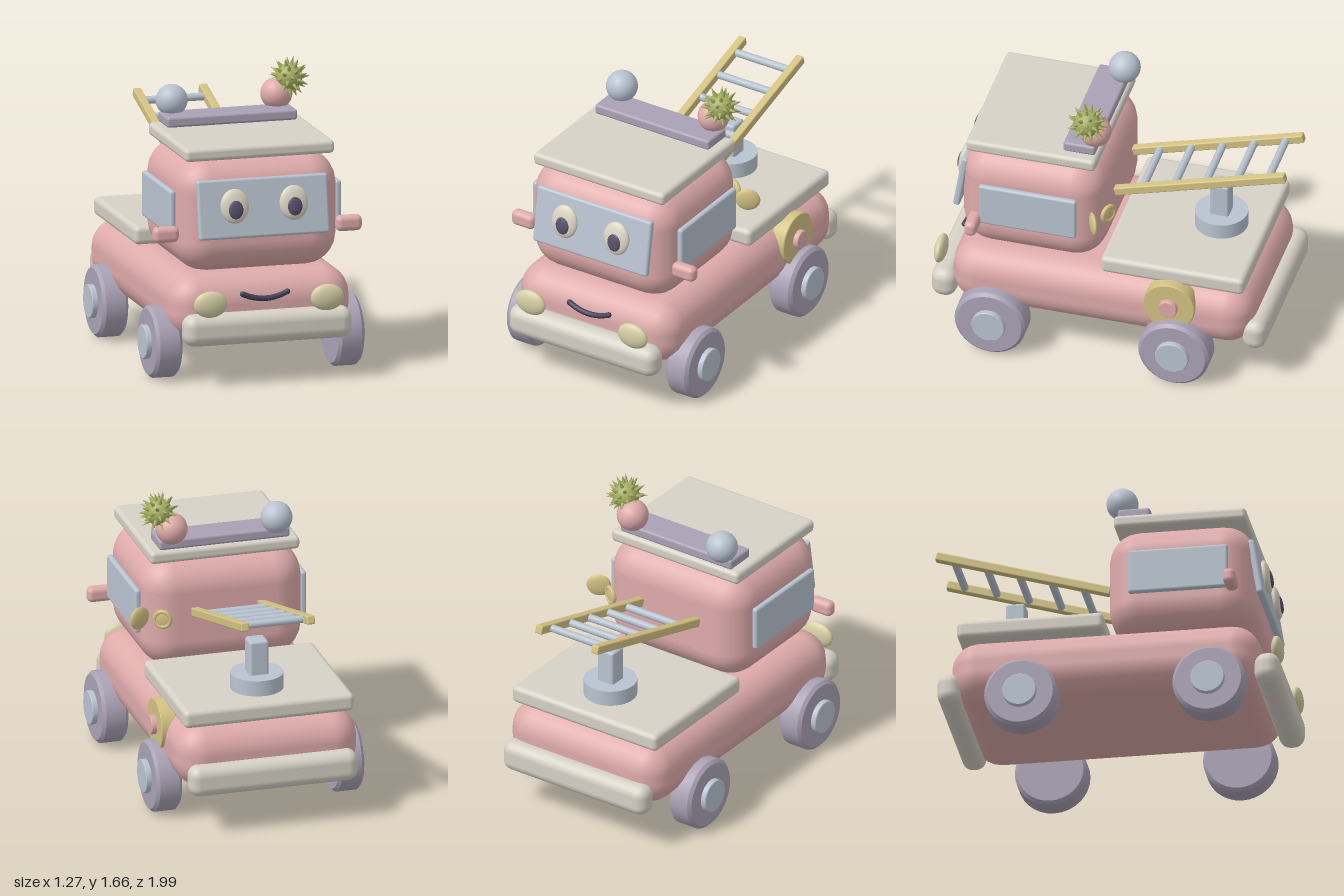
import * as THREE from 'three';
import { toCreasedNormals } from 'three/addons/utils/BufferGeometryUtils.js';
import { RoundedBoxGeometry } from 'three/addons/geometries/RoundedBoxGeometry.js';

const material = (name, color) => {
  const m = new THREE.MeshStandardMaterial({ color });
  m.name = name;
  return m;
};

export function createModel() {
  const truck = new THREE.Group();
  truck.name = 'fireTruck';
  const pink = material('pink', 0xdfabab);
  const cream = material('cream', 0xd6d1c6);
  const purple = material('greyPurple', 0xaaa2b5);
  const blue = material('paleBlue', 0xb9c4d1);
  const yellow = material('strawYellow', 0xd3c283);
  const lamp = material('lampCream', 0xd6d0a6);
  const eyeCream = material('eyeCream', 0xdcd5c4);
  const dark = material('darkViolet', 0x57506c);
  const mouthDark = material('mouthViolet', 0x443f58);
  const green = material('oliveGreen', 0xa5af62);

  const add = (name, geometry, mat, x, y, z, parent = truck) => {
    const mesh = new THREE.Mesh(geometry, mat);
    mesh.name = name;
    mesh.position.set(x, y, z);
    parent.add(mesh);
    return mesh;
  };
  const box = (name, mat, w, h, d, r, x, y, z, parent) =>
    add(name, new RoundedBoxGeometry(w, h, d, 3, r), mat, x, y, z, parent);
  const ball = (name, mat, rx, ry, rz, x, y, z, parent) =>
    add(name, new THREE.SphereGeometry(1, 24, 16).scale(rx, ry, rz), mat, x, y, z, parent);
  // bevelled disc lying along the x axis
  const disc = (name, mat, r, w, bevel, x, y, z) => {
    const h = w / 2;
    const profile = [[0, -h], [r - bevel, -h], [r, bevel - h], [r, h - bevel], [r - bevel, h], [0, h]];
    const g = new THREE.LatheGeometry(profile.map(p => new THREE.Vector2(...p)), 32);
    return add(name, toCreasedNormals(g.rotateZ(-Math.PI / 2), 0.6), mat, x, y, z);
  };

  // body, cabin, roof and deck
  box('body', pink, 1.06, 0.375, 1.75, 0.16, 0, 0.422, 0.005);
  box('cabin', pink, 0.94, 0.65, 0.83, 0.18, 0, 0.935, 0.425);
  box('cabinRoof', cream, 0.87, 0.075, 0.75, 0.025, 0, 1.295, 0.425);
  box('rearDeck', cream, 0.99, 0.105, 0.83, 0.03, 0, 0.667, -0.413);
  box('frontBumper', cream, 0.98, 0.18, 0.145, 0.065, 0, 0.325, 0.922);
  box('rearBumper', cream, 0.98, 0.18, 0.135, 0.06, 0, 0.325, -0.877);

  // windscreen with eyes
  const face = new THREE.Group();
  face.name = 'windscreenGroup';
  face.position.set(0, 0.99, 0.845);
  face.rotation.x = -0.16;
  truck.add(face);
  box('windscreen', blue, 0.76, 0.335, 0.04, 0.015, 0, 0, 0, face);
  for (const s of [-1, 1]) {
    ball('eye', eyeCream, 0.083, 0.098, 0.03, s * 0.172, 0.015, 0.032, face);
    ball('pupil', dark, 0.044, 0.055, 0.016, s * 0.172, -0.002, 0.053, face);
  }

  // smiling mouth with rounded ends
  const smile = new THREE.QuadraticBezierCurve3(
    new THREE.Vector3(-0.13, 0.507, 0.89),
    new THREE.Vector3(0, 0.447, 0.9),
    new THREE.Vector3(0.13, 0.507, 0.89));
  add('mouth', new THREE.TubeGeometry(smile, 20, 0.016, 8), mouthDark, 0, 0, 0);

  for (const s of [-1, 1]) {
    ball('mouthEnd', mouthDark, 0.016, 0.016, 0.016, s * 0.13, 0.507, 0.89);
    ball('headlight', lamp, 0.097, 0.075, 0.034, s * 0.34, 0.477, 0.966);
    box('sideWindow', blue, 0.036, 0.26, 0.565, 0.015, s * 0.482, 0.95, 0.425);
    box('mirror', pink, 0.15, 0.09, 0.07, 0.03, s * 0.533, 0.84, 0.73);
    for (const z of [0.615, -0.45]) {
      disc('wheel', purple, 0.205, 0.15, 0.018, s * 0.53, 0.207, z);
      disc('wheelHub', blue, 0.096, 0.05, 0.004, s * 0.611, 0.207, z);
    }
  }

  // hose reel on the left side
  disc('hoseReel', yellow, 0.15, 0.09, 0.004, 0.505, 0.495, -0.41);
  disc('reelHub', pink, 0.055, 0.08, 0.004, 0.54, 0.495, -0.41);

  // pair of angled bells at the rear corner of the cabin
  const bellFront = ball('bellFront', yellow, 0.07, 0.066, 0.02, 0.505, 0.955, 0.038);
  bellFront.rotation.y = 0.48;
  const bellRear = ball('bellRear', yellow, 0.056, 0.056, 0.016, 0.385, 0.955, -0.012);
  bellRear.rotation.y = Math.PI - 0.51;
  add('bellRim', new THREE.TorusGeometry(0.045, 0.012, 8, 24), yellow, 0, 0, 0.006, bellRear);

  // light bar with round lamps
  box('lightBar', purple, 0.76, 0.06, 0.185, 0.015, 0, 1.363, 0.157);
  ball('blueBeacon', blue, 0.09, 0.09, 0.09, -0.305, 1.455, 0.082);
  ball('pinkBeacon', pink, 0.09, 0.09, 0.09, 0.305, 1.455, 0.082);

  // spiky ball: cones spread evenly over a sphere
  const burr = new THREE.Group();
  burr.name = 'spikyBall';
  burr.position.set(0.37, 1.55, 0.11);
  truck.add(burr);
  ball('burrCore', green, 0.075, 0.075, 0.075, 0, 0, 0, burr);
  const cone = new THREE.ConeGeometry(0.015, 0.055, 6);
  const up = new THREE.Vector3(0, 1, 0);
  const count = 44;
  for (let i = 0; i < count; i++) {
    const y = 1 - (2 * i + 1) / count, a = i * 2.39996, r = Math.sqrt(1 - y * y);
    const dir = new THREE.Vector3(r * Math.cos(a), y, r * Math.sin(a));
    const p = dir.clone().multiplyScalar(0.092);
    add('spike', cone, green, p.x, p.y, p.z, burr).quaternion.setFromUnitVectors(up, dir);
  }

  // turret
  add('turretBase', new THREE.CylinderGeometry(0.15, 0.15, 0.095, 32), blue, 0, 0.763, -0.565);
  box('turretPost', blue, 0.11, 0.22, 0.11, 0.015, 0, 0.9, -0.565);

  // ladder sloping up to the rear
  const ladder = new THREE.Group();
  ladder.name = 'ladder';
  ladder.position.set(0, 1.118, -0.495);
  ladder.rotation.x = 0.285;
  truck.add(ladder);
  for (const s of [-1, 1]) box('ladderRail', yellow, 0.047, 0.05, 1.03, 0.008, s * 0.192, 0, 0, ladder);
  for (let i = -2; i <= 2; i++) {
    const rung = add('rung', new THREE.CylinderGeometry(0.022, 0.022, 0.36, 12), blue, 0, 0, i * 0.19 - 0.03, ladder);
    rung.rotation.z = Math.PI / 2;
  }
  return truck;
}
